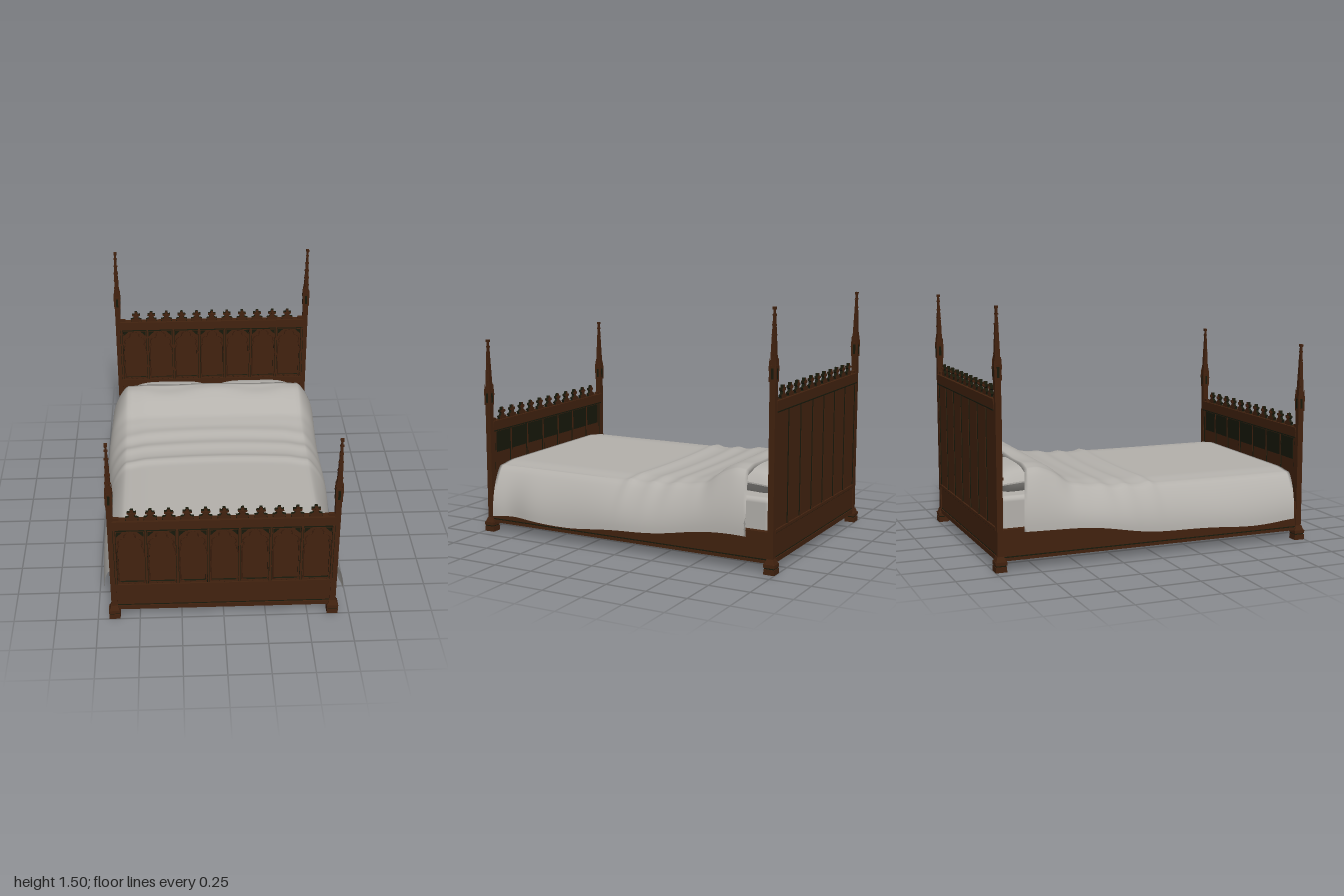
import * as THREE from 'three';
import { RoundedBoxGeometry } from 'three/addons/geometries/RoundedBoxGeometry.js';

const mat = (name, color, side = THREE.FrontSide) => {
  const m = new THREE.MeshStandardMaterial({ color, side });
  m.name = name;
  return m;
};

export function createModel() {
  const wood = mat('brown wood', 0x42220f);
  const dark = mat('dark recess', 0x18190b);
  const linen = mat('grey linen', 0xb4b1ac, THREE.DoubleSide);
  const bed = new THREE.Group();
  bed.name = 'bed';

  const add = (parent, name, geo, material, x = 0, y = 0, z = 0) => {
    const m = new THREE.Mesh(geo, material);
    m.name = name;
    m.position.set(x, y, z);
    parent.add(m);
    return m;
  };
  // box given by its width, bottom, top and depth
  const slab = (parent, name, w, y0, y1, d, x, z, material = wood) =>
    add(parent, name, new THREE.BoxGeometry(w, y1 - y0, d), material, x, (y0 + y1) / 2, z);
  // square tapering shaft
  const taper = (parent, name, w0, w1, y0, y1, x, z) => {
    const g = new THREE.CylinderGeometry(w1 * Math.SQRT1_2, w0 * Math.SQRT1_2, y1 - y0, 4).toNonIndexed();
    g.rotateY(Math.PI / 4);
    g.computeVertexNormals();
    return add(parent, name, g, wood, x, (y0 + y1) / 2, z);
  };

  // ---- posts with stepped feet, gabled block and crocketed spire
  const post = (x, z, dy) => {
    const g = new THREE.Group();
    g.name = 'post';
    g.position.set(x, 0, z);
    bed.add(g);
    slab(g, 'foot', 0.066, 0, 0.032, 0.066, 0, 0);
    slab(g, 'footGroove', 0.058, 0.032, 0.04, 0.058, 0, 0, dark);
    slab(g, 'footCap', 0.068, 0.04, 0.06, 0.068, 0, 0);
    taper(g, 'footSlope', 0.06, 0.04, 0.06, 0.088, 0, 0);
    slab(g, 'shaft', 0.035, 0.06, 0.82 + dy, 0.035, 0, 0);
    slab(g, 'gableBlock', 0.042, 0.81 + dy, 0.9 + dy, 0.042, 0, 0);
    taper(g, 'spire', 0.034, 0.01, 0.9 + dy, 1.215 + dy, 0, 0);
    slab(g, 'finial', 0.019, 1.205 + dy, 1.22 + dy, 0.019, 0, 0);
    for (let i = 0; i < 5; i++) {
      const w = 0.036 - i * 0.0035, y = 0.955 + i * 0.054 + dy;
      slab(g, 'crocketX', w, y, y + 0.009, 0.01, 0, 0);
      slab(g, 'crocketZ', 0.01, y, y + 0.009, w, 0, 0);
    }
    for (const s of [-1, 1]) {
      slab(g, 'nicheZ', 0.014, 0.825 + dy, 0.885 + dy, 0.002, 0, s * 0.0215, dark);
      slab(g, 'nicheX', 0.002, 0.825 + dy, 0.885 + dy, 0.014, s * 0.0215, 0, dark);
      for (const t of [-1, 1]) taper(g, 'pinnacle', 0.011, 0.002, 0.87 + dy, 0.94 + dy, s * 0.018, t * 0.018);
    }
  };
  for (const x of [-0.65, 0.65]) {
    post(x, 0.967, 0);
    post(x, -0.967, 0.28);
  }

  // ---- trefoil-headed arch outline
  const arch = (P, cx, y0, dy) => {
    const r = Math.PI / 180, yl = 0.555 + dy;
    P.moveTo(cx - 0.073, y0);
    P.lineTo(cx + 0.073, y0);
    P.lineTo(cx + 0.073, 0.518 + dy);
    P.absarc(cx + 0.035, yl, 0.036, -40 * r, 95 * r, false);
    P.absarc(cx, 0.602 + dy, 0.032, -20 * r, 200 * r, false);
    P.absarc(cx - 0.035, yl, 0.036, 85 * r, 220 * r, false);
    P.lineTo(cx - 0.073, 0.518 + dy);
    P.lineTo(cx - 0.073, y0);
    return P;
  };
  const triangle = (P, cx, s, dy) => {
    P.moveTo(cx + s * 0.078, 0.633 + dy);
    P.lineTo(cx + s * 0.042, 0.633 + dy);
    P.lineTo(cx + s * 0.078, 0.598 + dy);
    P.closePath();
    return P;
  };

  // ---- cresting: one fleuron outline, repeated
  const half = [[0.0525, 0.006], [0.032, 0.026], [0.038, 0.04], [0.019, 0.045], [0.012, 0.058],
    [0.027, 0.066], [0.026, 0.078], [0.011, 0.077], [0.008, 0.095]];
  const fleuron = [[0.0525, 0], ...half, ...half.map(([x, y]) => [-x, y]).reverse(), [-0.0525, 0]];
  const fleuronGeo = new THREE.ExtrudeGeometry(
    new THREE.Shape(fleuron.map(([x, y]) => new THREE.Vector2(x, y))), { depth: 0.018, bevelEnabled: false });

  // ---- head and foot boards
  const endBoard = (name, z, dy) => {
    const g = new THREE.Group();
    g.name = name;
    g.position.z = z;
    bed.add(g);
    const y0 = 0.25 + dy, y1 = 0.645 + dy;
    slab(g, 'panel', 1.28, 0.06, y1, 0.02, 0, 0);
    slab(g, 'bottomRail', 1.28, 0.06, 0.088, 0.036, 0, 0);
    slab(g, 'bottomShadow', 1.26, 0.088, 0.093, 0.025, 0, 0, dark);
    slab(g, 'midRail', 1.28, 0.235, 0.252, 0.04, 0, 0);
    slab(g, 'midShadow', 1.27, 0.229, 0.235, 0.028, 0, 0, dark);
    slab(g, 'sill', 1.28, y0 - 0.01, y0 + 0.006, 0.03, 0, 0.016);
    slab(g, 'topRail', 1.28, y1, 0.698 + dy, 0.042, 0, 0);
    slab(g, 'topShadow', 1.27, y1 - 0.007, y1, 0.046, 0, 0, dark);
    slab(g, 'topLip', 1.28, 0.69 + dy, 0.704 + dy, 0.048, 0, 0);

    const plate = new THREE.Shape();
    plate.moveTo(-0.635, y0); plate.lineTo(0.635, y0);
    plate.lineTo(0.635, y1); plate.lineTo(-0.635, y1);
    plate.closePath();
    const spandrels = [];
    for (let i = -3; i <= 3; i++) {
      const cx = i * 0.18;
      const hole = arch(new THREE.Path(), cx, y0 + 0.02, dy);
      plate.holes.push(hole);
      for (const s of [-1, 1]) {
        plate.holes.push(triangle(new THREE.Path(), cx, s, dy));
        spandrels.push(triangle(new THREE.Shape(), cx, s, dy));
      }
      // raised moulding round the arch
      const pts = hole.getPoints(8).map(p => new THREE.Vector3(p.x, p.y, 0));
      const curve = new THREE.CatmullRomCurve3(pts, false, 'centripetal');
      add(g, 'archMoulding', new THREE.TubeGeometry(curve, 110, 0.0035, 4), wood, 0, 0, 0.022);
    }
    add(g, 'tracery', new THREE.ExtrudeGeometry(plate, { depth: 0.012, bevelEnabled: false, curveSegments: 8 }),
      [wood, dark], 0, 0, 0.01);
    add(g, 'spandrels', new THREE.ShapeGeometry(spandrels), dark, 0, 0, 0.011);

    // upright mullions on both faces
    for (let i = 0; i < 8; i++) {
      const x = -0.63 + i * 0.18;
      slab(g, 'mullionShadow', 0.017, y0, y1, 0.003, x, 0.0225, dark);
      slab(g, 'mullion', 0.011, y0, y1, 0.008, x, 0.024);
      slab(g, 'backStripShadow', 0.022, 0.252, y1, 0.004, x, -0.012, dark);
      slab(g, 'backStrip', 0.01, 0.252, y1, 0.006, x, -0.014);
    }
    // cresting with full and half fleurons
    for (let i = -5; i <= 5; i++) {
      add(g, 'fleuron', fleuronGeo, [wood, dark], i * 0.105, 0.695 + dy - 0.012, -0.009);
      slab(g, 'fleuronBud', 0.014, 0.75 + dy, 0.76 + dy, 0.036, i * 0.105, 0);
    }
    for (const s of [-1, 1]) slab(g, 'crestEnd', 0.035, 0.69 + dy, 0.72 + dy, 0.018, s * 0.617, 0);
    return g;
  };
  endBoard('headboard', -0.967, 0.28);
  const foot = endBoard('footboard', 0.967, 0);
  slab(foot, 'innerBand', 1.2, 0.5, 0.632, 0.004, 0, -0.0115, dark);

  // ---- side rails and base
  for (const s of [-1, 1]) {
    slab(bed, 'sideRail', 0.036, 0.06, 0.24, 1.9, s * 0.645, 0);
    slab(bed, 'railMoulding', 0.044, 0.06, 0.078, 1.9, s * 0.645, 0);
    slab(bed, 'railShadow', 0.039, 0.078, 0.085, 1.9, s * 0.645, 0, dark);
  }
  slab(bed, 'underside', 1.26, 0.058, 0.075, 1.92, 0, 0, dark);

  // ---- mattress and pillows
  add(bed, 'mattress', new RoundedBoxGeometry(1.21, 0.22, 1.86, 3, 0.03), linen, 0, 0.308, -0.005);
  for (const s of [-1, 1]) {
    const geo = new THREE.BoxGeometry(2, 2, 2, 20, 6, 14);
    const p = geo.attributes.position;
    for (let i = 0; i < p.count; i++) {
      const x = p.getX(i), y = p.getY(i), z = p.getZ(i);
      const puff = Math.pow((1 - x ** 4) * (1 - z ** 4), 0.6);
      p.setXYZ(i, x * 0.265 * (1 - 0.06 * (1 - z * z)), y * (0.004 + 0.077 * puff), z * 0.175 * (1 - 0.09 * (1 - x * x)));
    }
    geo.computeVertexNormals();
    const pillow = add(bed, 'pillow', geo, linen, s * 0.292, 0.483, -0.765);
    pillow.rotation.x = -0.06;
  }

  // ---- draped duvet: cross-sections swept from head to foot
  const lerp = THREE.MathUtils.lerp, step = THREE.MathUtils.smoothstep;
  const bump = (v, c, w) => Math.exp(-(((v - c) / w) ** 2));
  const NX = 64, NZ = 90, pos = [], idx = [];
  for (let i = 0; i <= NZ; i++) {
    const first = i === 0, last = i === NZ;
    const v = THREE.MathUtils.clamp((i - 1) / (NZ - 2), 0, 1);
    const z = lerp(-0.785, 0.938, v);
    const top = 0.432 + 0.025 * (1 - step(z, -0.45, -0.2)) + 0.122 * (1 - step(z, -0.72, -0.4));
    for (let j = 0; j <= NX; j++) {
      const t = j / NX * 2 - 1, a = Math.abs(t), s = Math.sign(t);
      const hem = (s > 0 ? 0.115 : 0.14) + 0.1 * (1 - step(z, -0.85, 0.35)) + 0.008 * Math.sin(z * 9 + s);
      const slope = step(a, 0.6, 1);
      const x = a < 0.66 ? a * 0.9 : 0.594 + 0.126 * Math.sin((a - 0.66) / 0.34 * Math.PI / 2);
      const f = 1 - 0.05 * step(a, 0.5, 0.66) - (a > 0.66 ? 0.95 * ((a - 0.66) / 0.34) ** 1.2 : 0);
      // folds fade out towards the hem
      const q = z - 0.09 * t * t;
      const folds = 0.015 * bump(q, -0.06, 0.03) + 0.014 * bump(q, -0.22, 0.04) + 0.01 * bump(q, -0.36, 0.04)
        - 0.018 * bump(z, -0.53, 0.05) + 0.01 * bump(z, -0.72, 0.06) * Math.cos(t * 9);
      let y = lerp(hem, top, f) + folds * (1 - slope);
      let zz = z - 0.055 * step(a, 0.5, 1) * (1 - step(v, 0, 0.2)) - 0.03 * slope * step(v, 0.9, 1);
      if (first) { y -= 0.035 * (1 - slope); zz += 0.012; }
      if (last) y = Math.min(y, 0.3);
      const sway = 0.008 * slope * Math.sin(z * 7 + s * 2) - 0.03 * slope * bump(z, 0.78, 0.12) * (s > 0 ? 1 : 0);
      pos.push(s * (x + sway), y, zz);
      if (i < NZ && j < NX) {
        const k = i * (NX + 1) + j, n = k + NX + 1;
        idx.push(k, n, k + 1, k + 1, n, n + 1);
      }
    }
  }
  const duvet = new THREE.BufferGeometry();
  duvet.setAttribute('position', new THREE.Float32BufferAttribute(pos, 3));
  duvet.setIndex(idx);
  duvet.computeVertexNormals();
  add(bed, 'duvet', duvet, linen);

  return bed;
}
